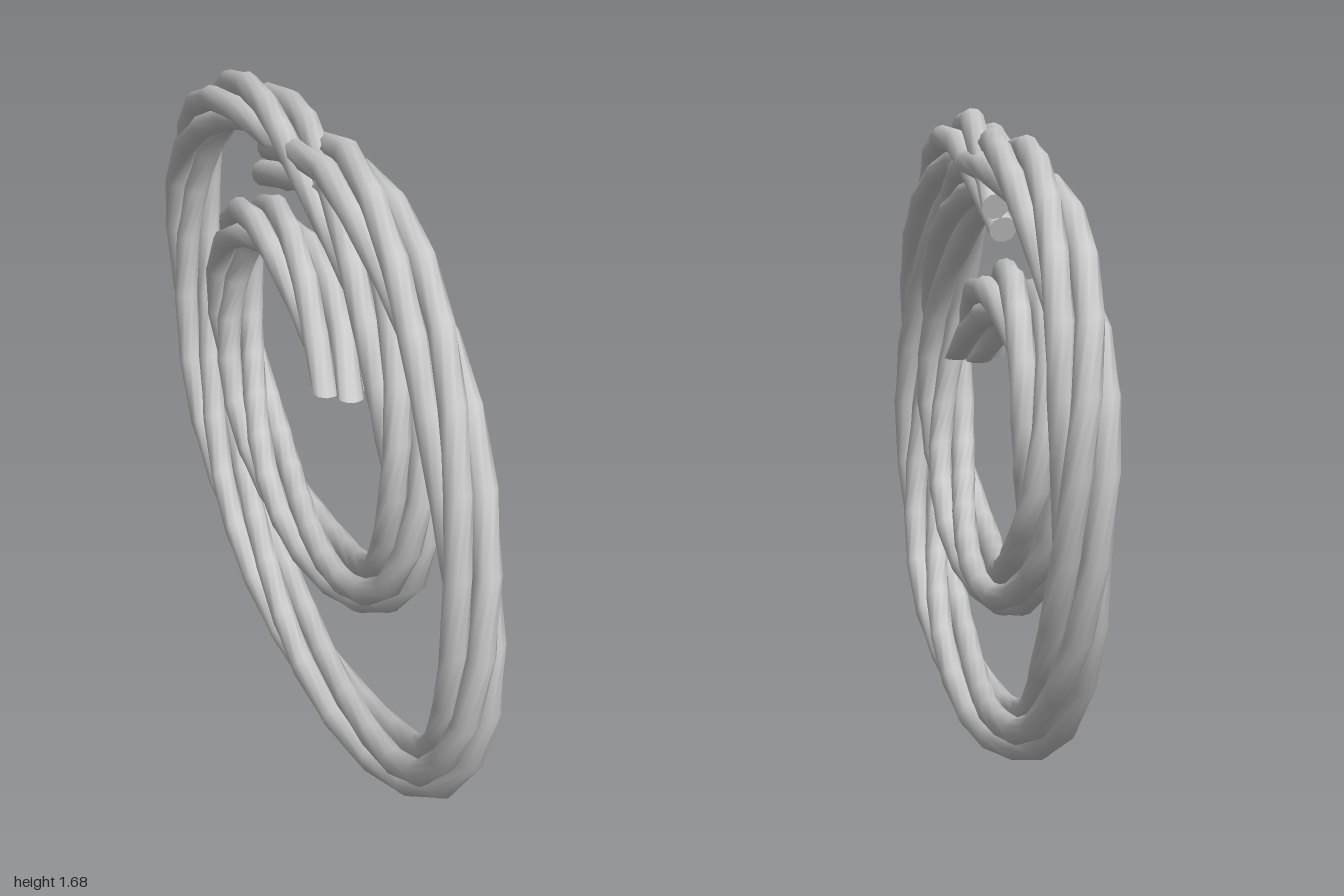
import * as THREE from 'three';

// Rope centre line in the z/y plane, from the inner end outwards
const PATH = [
  [0.18, 1.03], [-0.02, 1.22], [-0.30, 1.28], [-0.53, 1.16], [-0.58, 0.90], [-0.46, 0.68],
  [-0.25, 0.53], [0.02, 0.48], [0.30, 0.53], [0.51, 0.69], [0.57, 0.95], [0.50, 1.20],
  [0.30, 1.42], [0.02, 1.56], [-0.25, 1.595], [-0.60, 1.52], [-0.85, 1.32], [-0.92, 1.02],
  [-0.84, 0.64], [-0.63, 0.34], [-0.33, 0.18], [0.03, 0.085], [0.46, 0.12], [0.76, 0.27],
  [0.91, 0.55], [0.90, 0.92], [0.76, 1.26], [0.52, 1.50], [0.17, 1.605], [-0.24, 1.475],
];
const STRANDS = 4, SIDES = 10;
const RADIUS = 0.034, OFFSET = 0.047;  // strand radius and distance from the rope's core
const TWIST = 0.48;                    // turn per ring, in radians
const ACROSS = new THREE.Vector3(1, 0, 0);

// Centre and in-plane normal of every ring along the rope
function ropeFrames() {
  const curve = new THREE.CatmullRomCurve3(PATH.map(([z, y]) => new THREE.Vector3(0, y, z)));
  const rings = (PATH.length - 1) * 2;
  return Array.from({ length: rings + 1 }, (_, i) => {
    const tangent = curve.getTangent(i / rings);
    if (i === 0) tangent.set(0, 1, 0);  // the inner end is cut level
    return { centre: curve.getPoint(i / rings), normal: tangent.cross(ACROSS).normalize() };
  });
}

// One strand: circular sections winding round the rope's centre line, capped at both ends
function strandGeometry(frames, phase) {
  const position = [], index = [];
  const addRing = (i) => {
    const { centre, normal } = frames[i];
    const angle = phase + i * TWIST;
    for (let j = 0; j < SIDES; j++) {
      const a = angle + (j / SIDES) * Math.PI * 2;
      const u = OFFSET * Math.cos(angle) + RADIUS * Math.cos(a);
      const v = OFFSET * Math.sin(angle) + RADIUS * Math.sin(a);
      const p = centre.clone().addScaledVector(ACROSS, u).addScaledVector(normal, v);
      position.push(p.x, p.y, p.z);
    }
  };
  frames.forEach((_, i) => addRing(i));
  for (let i = 0; i < frames.length - 1; i++) {
    for (let j = 0; j < SIDES; j++) {
      const k = (j + 1) % SIDES;
      const a = i * SIDES + j, b = i * SIDES + k, c = a + SIDES, d = b + SIDES;
      index.push(a, b, d, a, d, c);
    }
  }
  // Caps have their own vertices so that their rims stay sharp
  const start = position.length / 3;
  addRing(0);
  addRing(frames.length - 1);
  for (let j = 1; j < SIDES - 1; j++) {
    index.push(start, start + j + 1, start + j);
    index.push(start + SIDES, start + SIDES + j, start + SIDES + j + 1);
  }
  const geometry = new THREE.BufferGeometry();
  geometry.setAttribute('position', new THREE.Float32BufferAttribute(position, 3));
  geometry.setIndex(index);
  geometry.computeVertexNormals();
  return geometry;
}

export function createModel() {
  const model = new THREE.Group();
  model.name = 'coiledRope';
  const material = new THREE.MeshStandardMaterial({ color: 0xcccccc });
  const frames = ropeFrames();
  for (let s = 0; s < STRANDS; s++) {
    const strand = new THREE.Mesh(strandGeometry(frames, (s / STRANDS) * Math.PI * 2), material);
    strand.name = `strand${s + 1}`;
    model.add(strand);
  }
  return model;
}
